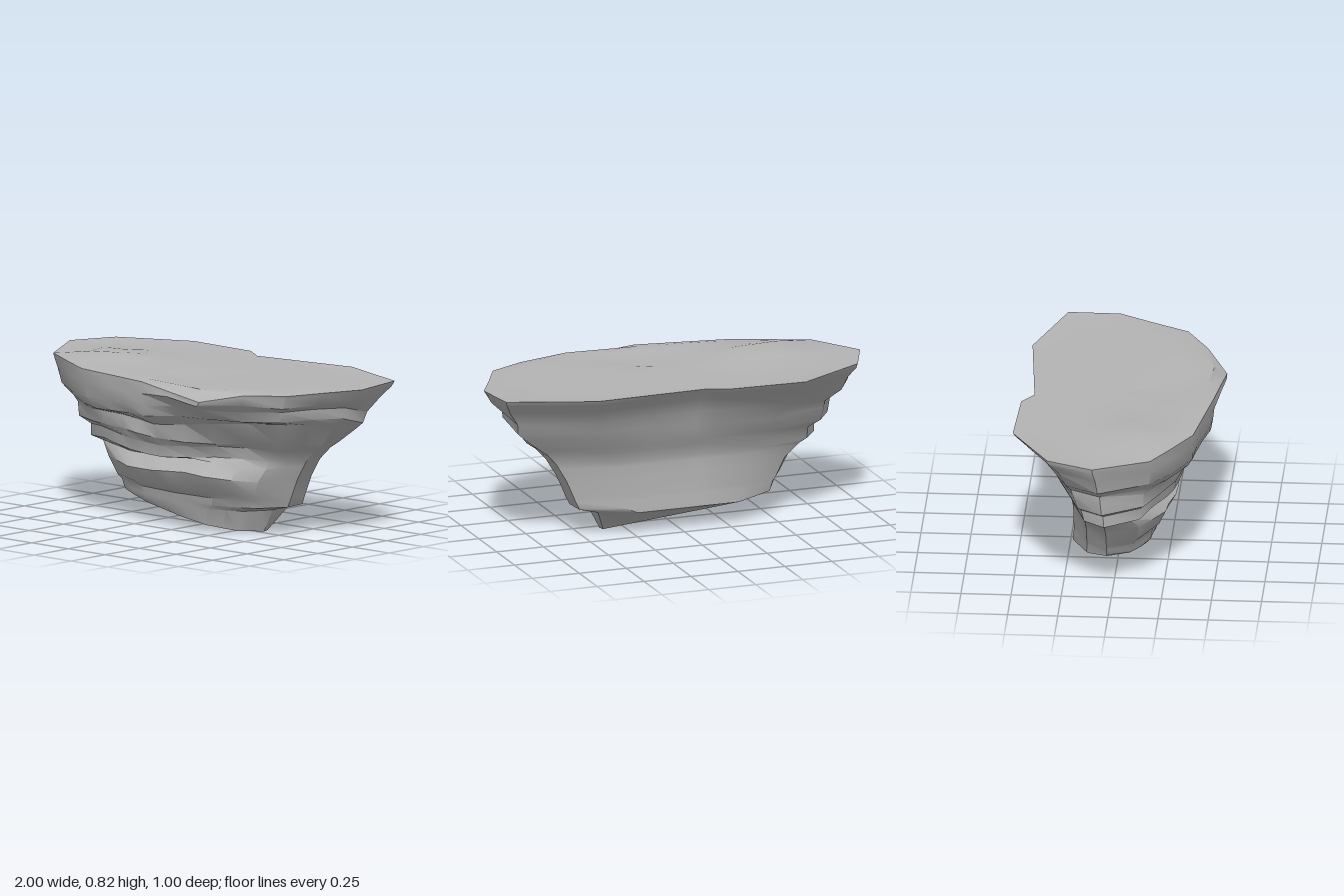
import * as THREE from 'three';
import { toCreasedNormals } from 'three/addons/utils/BufferGeometryUtils.js';

// Rim outline seen from above: x, z, height. Runs left, back, right, front.
const rim = [
  [-1, -0.08, 0.8], [-0.9, -0.31, 0.8], [-0.55, -0.505, 0.795], [-0.15, -0.49, 0.795],
  [-0.05, -0.43, 0.79], [0.25, -0.455, 0.795], [0.55, -0.48, 0.8], [0.98, -0.33, 0.8],
  [1, -0.07, 0.79], [0.91, 0.1, 0.785], [0.82, 0.28, 0.78], [0.63, 0.39, 0.775],
  [0.42, 0.5, 0.73], [0.2, 0.48, 0.755], [0, 0.465, 0.78], [-0.16, 0.44, 0.78],
  [-0.32, 0.415, 0.78], [-0.48, 0.39, 0.78], [-0.67, 0.295, 0.785], [-0.85, 0.2, 0.79],
];

// Strata from top to base: height, then reach to left, right, front left, front right, back.
const strata = [
  [0.775, 0.995, 0.99, 0.5, 0.5, 0.485],
  [0.72, 0.965, 0.955, 0.5, 0.5, 0.41],
  [0.645, 0.94, 0.9, 0.485, 0.45, 0.355],
  [0.59, 0.85, 0.89, 0.47, 0.4, 0.325],
  [0.555, 0.85, 0.85, 0.395, 0.32, 0.305],
  [0.485, 0.84, 0.76, 0.395, 0.26, 0.27],
  [0.45, 0.77, 0.71, 0.34, 0.24, 0.25],
  [0.39, 0.77, 0.655, 0.335, 0.22, 0.225],
  [0.365, 0.72, 0.64, 0.23, 0.24, 0.222],
  [0.3, 0.64, 0.6, 0.315, 0.28, 0.22],
  [0.21, 0.59, 0.56, 0.265, 0.23, 0.22],
  [0.185, 0.57, 0.55, 0.225, 0.2, 0.22],
  [0.145, 0.555, 0.53, 0.215, 0.19, 0.225],
  [0.12, 0.55, 0.43, 0.21, 0.18, 0.225],
  [0.06, 0.55, 0.37, 0.185, 0.165, 0.22],
];

// Repeatable pseudo random value in -1..1
const noise = (i, j) => {
  const s = Math.sin(i * 127.1 + j * 311.7) * 43758.5453;
  return (s - Math.floor(s)) * 2 - 1;
};

// Sloping plane of the base
const baseY = (x) => 0.06 - 0.15 * x;

function stratumRing([h, left, right, frontL, frontR, back], i) {
  const isBase = i === strata.length - 1;
  return rim.map(([px, pz, py], j) => {
    const blend = THREE.MathUtils.smoothstep(px, -0.05, 0.42);
    const front = THREE.MathUtils.lerp(frontL, frontR, blend);
    const x = px * (px < 0 ? left : right);
    // The notch at the back fades out below the rim
    const depth = pz < -0.4 ? THREE.MathUtils.lerp(pz, -0.49, Math.min(1, i / 5)) : pz;
    let z = (depth / 0.5) * (pz < 0 ? back : front);
    // The base is cut back obliquely behind
    if (isBase) return [x, baseY(x), Math.max(z, -0.21 + 0.17 * (x + 0.5))];
    let y = h;
    // The overhang under the rim sits higher at the front right
    if (pz > -0.1 && i > 1 && i < 5) y += 0.045 * blend;
    // Broken, tilted ledges on the front only
    if (pz > 0.2 && i > 0 && i < 10) {
      z += 0.012 * noise(i, j);
      y += 0.012 * Math.sin(px * 5 + Math.floor(i / 2) * 1.7);
    }
    y = Math.min(y, py - 0.012 * (i + 1));
    y = Math.max(y, baseY(x) + 0.006 * (strata.length - 1 - i));
    return [x, y, z];
  });
}

// Ground on top: nearly flat with a low mound at the front left
function groundRing(f) {
  return rim.map(([px, pz, py]) => {
    const x = px * f, z = pz * f;
    const mound = 0.042 * Math.exp(-(((x + 0.58) / 0.22) ** 2) - ((z - 0.08) / 0.13) ** 2);
    const dip = 0.012 * Math.exp(-(((x - 0.05) / 0.15) ** 2) - ((z - 0.25) / 0.12) ** 2);
    return [x, f === 1 ? py : THREE.MathUtils.lerp(0.79, py, 0.1) + mound - dip, z];
  });
}

// Stitches rings listed from top to bottom; optional centre points close the ends
function skin(rings, topCentre, bottomCentre) {
  const n = rim.length;
  const positions = [];
  const tri = (a, b, c) => positions.push(...a, ...b, ...c);
  for (let i = 0; i + 1 < rings.length; i++) {
    for (let j = 0; j < n; j++) {
      const k = (j + 1) % n;
      const a = rings[i][j], b = rings[i][k];
      const c = rings[i + 1][j], d = rings[i + 1][k];
      tri(b, d, c);
      tri(b, c, a);
    }
  }
  const first = rings[0], last = rings[rings.length - 1];
  for (let j = 0; j < n; j++) {
    const k = (j + 1) % n;
    if (topCentre) tri(topCentre, first[k], first[j]);
    if (bottomCentre) tri(bottomCentre, last[j], last[k]);
  }
  const geometry = new THREE.BufferGeometry();
  geometry.setAttribute('position', new THREE.Float32BufferAttribute(positions, 3));
  return toCreasedNormals(geometry, 0.6);
}

export function createModel() {
  const group = new THREE.Group();
  group.name = 'rockLedge';
  const stone = new THREE.MeshStandardMaterial({ color: 0xb4b4b4 });
  stone.name = 'grey stone';
  const add = (name, geometry) => {
    const mesh = new THREE.Mesh(geometry, stone);
    mesh.name = name;
    group.add(mesh);
  };

  const rings = strata.map(stratumRing);
  const base = rings[rings.length - 1];

  // Flat ground
  add('topGround', skin([0.15, 0.3, 0.45, 0.6, 0.75, 0.88, 1].map(groundRing), [0, 0.79, 0]));
  // Layered cliff in front, smooth taper behind
  add('cliffSides', skin([groundRing(1), ...rings]));
  // Sloping cut underneath
  add('baseCut', skin([base], null, [-0.09, baseY(-0.09), 0.02]));
  return group;
}
